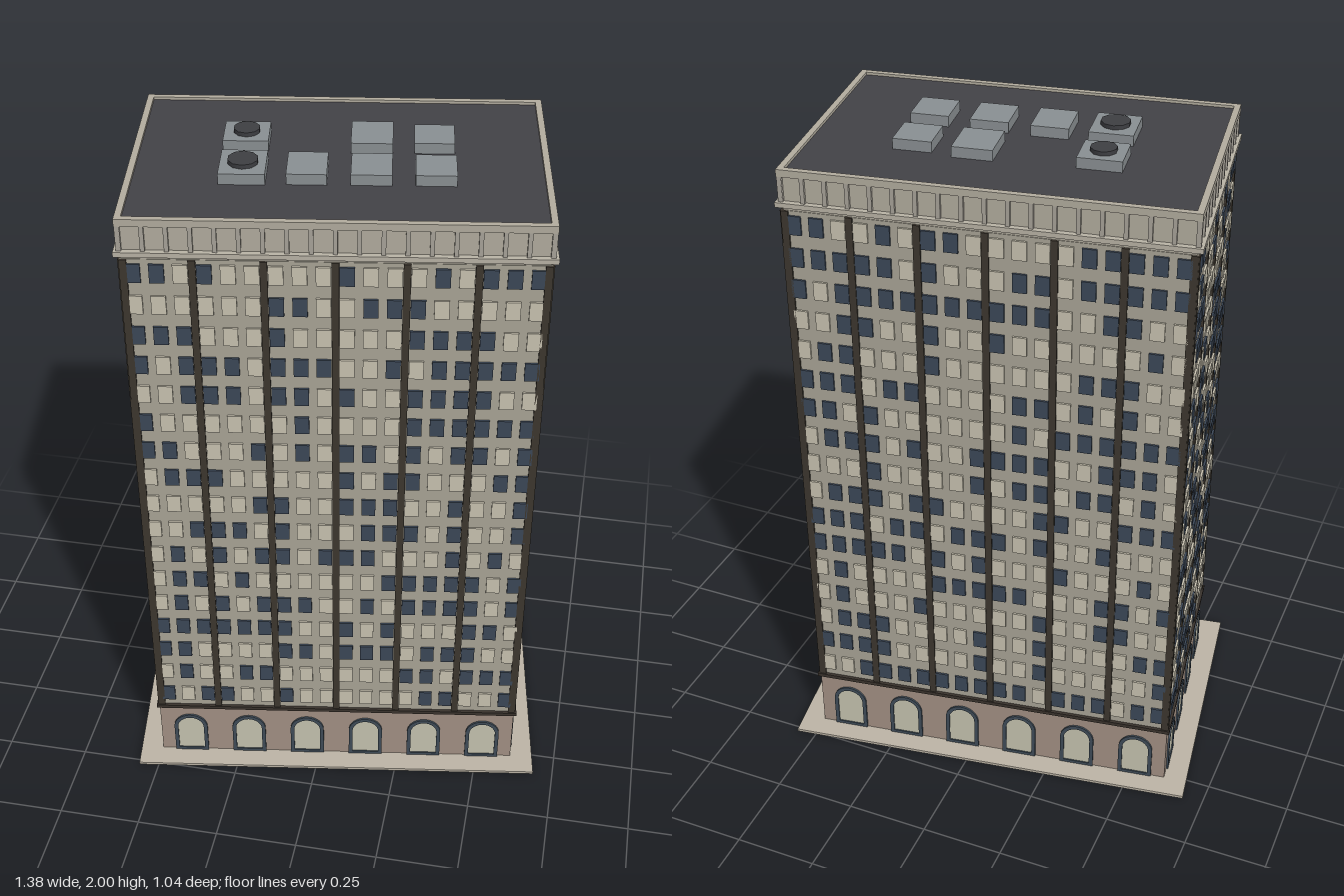
import * as THREE from 'three';
import { mergeGeometries } from 'three/addons/utils/BufferGeometryUtils.js';

const W = 1.12, D = 0.72;            // tower plan
const BASE_TOP = 0.2, WALL_TOP = 1.845;
const FLOORS = 17, FLOOR_H = 0.0963;
const SIDES = [
  { length: W, out: D / 2, bays: 6 }, // front
  { length: D, out: W / 2, bays: 4 }, // left
  { length: W, out: D / 2, bays: 6 }, // back
  { length: D, out: W / 2, bays: 4 }, // right
];

let seed = 7;
const random = () => (seed = (seed * 16807) % 2147483647) / 2147483647;

const box = (w, h, d, x, y, z) => new THREE.BoxGeometry(w, h, d).translate(x, y, z);

// arched outline standing on y = 0
function arch(Type, width, height) {
  const r = width / 2, s = new Type();
  s.moveTo(-r, 0);
  s.lineTo(r, 0);
  s.lineTo(r, height - r);
  s.absarc(0, height - r, r, 0, Math.PI, false);
  s.lineTo(-r, 0);
  return s;
}

export function createModel() {
  const tower = new THREE.Group();
  tower.name = 'apartmentTower';
  tower.rotation.y = 0.15;

  const add = (name, color, geometries) => {
    const mesh = new THREE.Mesh(mergeGeometries(geometries), new THREE.MeshStandardMaterial({ color }));
    mesh.name = name;
    tower.add(mesh);
  };
  const layer = (name, color, w, d, y0, y1) =>
    add(name, color, [box(w, y1 - y0, d, 0, (y0 + y1) / 2, 0)]);

  // stacked body
  layer('pavement', 0xbdb5a6, 1.264, 0.86, 0.001, 0.01);
  layer('base', 0xa39184, W + 0.004, D + 0.004, 0, BASE_TOP);
  layer('baseLedge', 0x3a332d, 1.14, 0.74, BASE_TOP, 0.212);
  layer('walls', 0xaaa597, W, D, 0.212, WALL_TOP);
  layer('frieze', 0xb3ad9f, W - 0.004, D - 0.004, WALL_TOP, 1.945);
  layer('friezeLedge', 0xbab4a6, 1.15, 0.75, 1.858, 1.872);

  // details gathered from all four sides
  const parts = { pilasters: [], dark: [], lit: [], posts: [], frames: [], arches: [] };
  SIDES.forEach(({ length, out, bays }, side) => {
    const put = (list, geometry) => list.push(geometry.rotateY(side * Math.PI / 2));
    const bay = length / bays, cols = bays * 3, step = length / cols;

    // pilasters between bays and at the corners
    for (let i = 0; i <= bays; i++) {
      const x = THREE.MathUtils.clamp(-length / 2 + i * bay, -length / 2 + 0.007, length / 2 - 0.007);
      put(parts.pilasters, box(0.02, WALL_TOP - 0.212, 0.012, x, (WALL_TOP + 0.212) / 2, out));
    }

    // window grid, some rooms lit
    for (let row = 0; row < FLOORS; row++) {
      for (let c = 0; c < cols; c++) {
        const list = random() < 0.52 ? parts.dark : parts.lit;
        put(list, box(0.04, 0.056, 0.012, -length / 2 + (c + 0.5) * step, 0.263 + row * FLOOR_H, out));
      }
    }

    // small posts between the frieze ledge and the cornice
    for (let c = 0; c <= cols; c++) {
      put(parts.posts, box(0.012, 0.075, 0.014, -length / 2 + c * step, 1.908, out));
    }

    // arched ground floor openings
    for (let i = 0; i < bays; i++) {
      const x = -length / 2 + (i + 0.5) * bay;
      const frame = arch(THREE.Shape, 0.106, 0.157);
      const hole = arch(THREE.Path, 0.082, 0.135);
      frame.holes.push(new THREE.Path(hole.getPoints(12).map(p => p.add(new THREE.Vector2(0, 0.01)))));
      put(parts.frames, new THREE.ExtrudeGeometry(frame, { depth: 0.008, bevelEnabled: false, curveSegments: 12 })
        .translate(x, 0.01, out));
      put(parts.arches, new THREE.ShapeGeometry(arch(THREE.Shape, 0.09, 0.145), 12)
        .translate(x, 0.014, out + 0.004));
    }
  });
  add('pilasters', 0x3d372f, parts.pilasters);
  add('darkWindows', 0x3c4858, parts.dark);
  add('litWindows', 0xc9c3b1, parts.lit);
  add('friezePosts', 0xa9a49a, parts.posts);
  add('archFrames', 0x3f4c58, parts.frames);
  add('archPanes', 0xc6c4b0, parts.arches);

  // cornice rim around the sunken roof
  const CW = 1.135, CD = 0.735, rim = 0.018;
  layer('cornice', 0xb3ad9f, CW, CD, 1.944, 1.953);
  add('parapet', 0xb3ad9f, [-1, 1].flatMap(s => [
    box(CW, 0.012, rim, 0, 1.959, s * (CD - rim) / 2),
    box(rim, 0.012, CD - 2 * rim, s * (CW - rim) / 2, 1.959, 0),
  ]));
  layer('roof', 0x434247, CW - 2 * rim, CD - 2 * rim, 1.95, 1.957);

  // rooftop units: x, z, width, depth, fan radius
  const units = [
    [-0.259, -0.095, 0.125, 0.12, 0.037], [-0.256, 0.088, 0.125, 0.14, 0.042],
    [0.086, -0.098, 0.115, 0.135, 0], [0.257, -0.093, 0.11, 0.115, 0],
    [-0.084, 0.088, 0.108, 0.13, 0], [0.088, 0.089, 0.11, 0.125, 0], [0.26, 0.09, 0.11, 0.12, 0],
  ];
  add('rooftopUnits', 0x8a9093, units.map(([x, z, w, d]) => box(w, 0.034, d, x, 1.971, z)));
  add('rooftopFans', 0x3e3f43, units.filter(u => u[4]).map(([x, z, , , r]) =>
    new THREE.CylinderGeometry(r, r, 0.014, 10).toNonIndexed().translate(x, 1.993, z)));

  const model = new THREE.Group();
  model.name = 'building';
  model.add(tower);
  return model;
}
